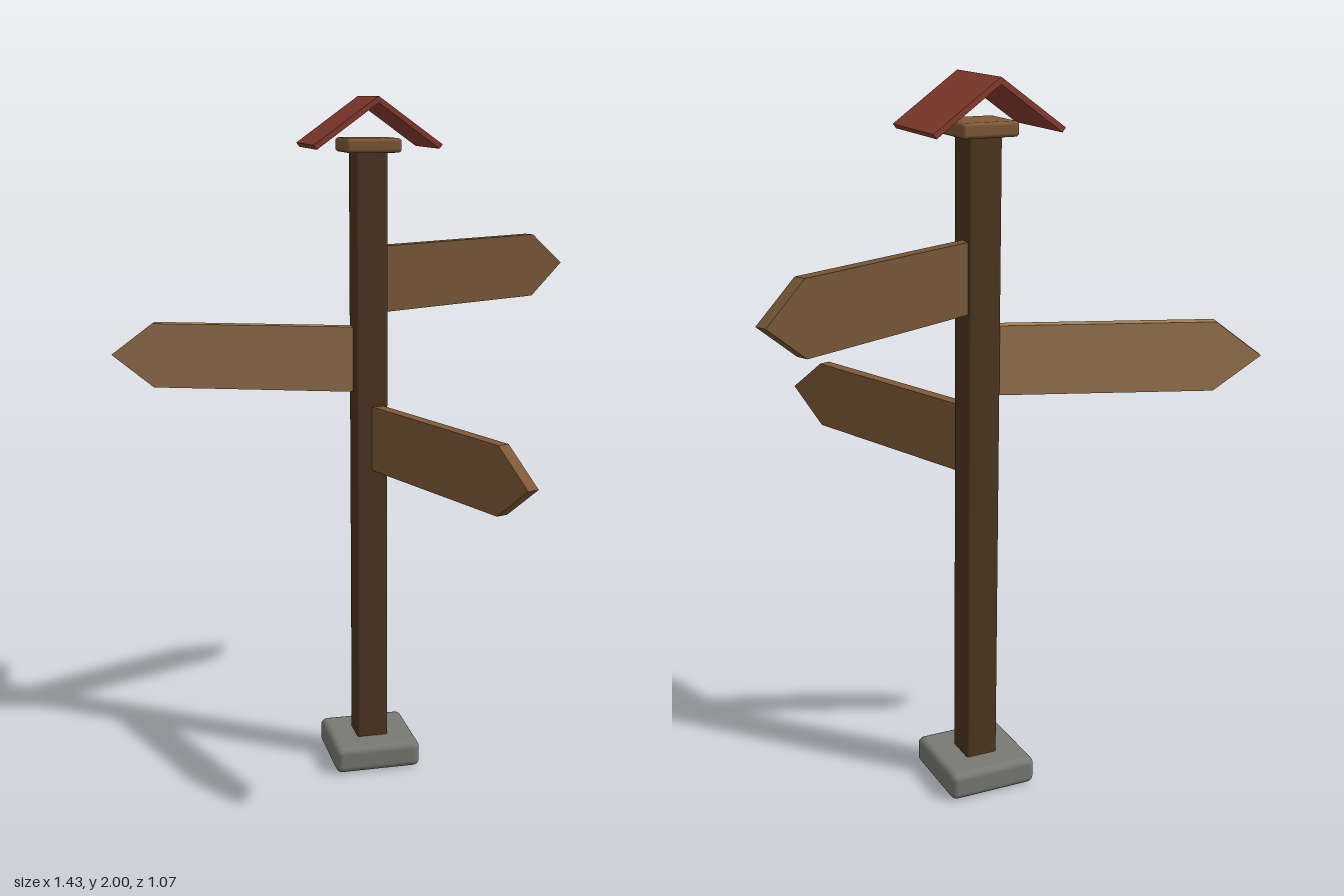
import * as THREE from 'three';
import { RoundedBoxGeometry } from 'three/addons/geometries/RoundedBoxGeometry.js';

const material = (name, color) => {
  const m = new THREE.MeshStandardMaterial({ color });
  m.name = name;
  return m;
};

export function createModel() {
  const model = new THREE.Group();
  model.name = 'signpost';
  // everything is arranged around the post axis
  const axis = new THREE.Group();
  axis.name = 'postAssembly';
  axis.position.set(0.01, 0, -0.19);
  model.add(axis);

  const darkWood = material('dark wood', 0x4e3722);
  const brownWood = material('brown wood', 0x755636);
  const warmWood = material('warm wood', 0x805a38);
  const lightWood = material('light wood', 0xa57e57);
  const stone = material('grey stone', 0x7a7a74);
  const roofRed = material('roof red', 0x8a3e30);

  const add = (name, geometry, mat) => {
    const mesh = new THREE.Mesh(geometry, mat);
    mesh.name = name;
    axis.add(mesh);
    return mesh;
  };

  // square block with softened edges between two heights
  const block = (name, width, y0, y1, radius, mat) => {
    const g = new RoundedBoxGeometry(width, y1 - y0, width, 3, radius);
    add(name, g, mat).position.y = (y0 + y1) / 2;
  };
  block('base', 0.26, 0, 0.08, 0.02, stone);
  block('post', 0.094, 0.06, 1.86, 0.008, darkWood);
  block('cap', 0.16, 1.845, 1.885, 0.01, warmWood);

  // extrusion centred on its own depth
  const slab = (points, depth) => {
    const shape = new THREE.Shape(points.map(([x, y]) => new THREE.Vector2(x, y)));
    return new THREE.ExtrudeGeometry(shape, { depth, bevelEnabled: false }).translate(0, 0, -depth / 2);
  };

  // thin gabled roof
  add('roof', slab([
    [0, 2], [-0.183, 1.869], [-0.174, 1.857], [0, 1.982], [0.174, 1.857], [0.183, 1.869],
  ], 0.26), roofRed);

  // pointed boards radiating from the post
  const board = slab([
    [0.02, -0.096], [0.643, -0.096], [0.77, 0], [0.643, 0.096], [0.02, 0.096],
  ], 0.034);
  const signs = [
    ['upperSign', 1.482, 25, brownWood],
    ['middleSign', 1.25, 160, lightWood],
    ['lowerSign', 1.02, -70, warmWood],
  ];
  for (const [name, y, degrees, mat] of signs) {
    const sign = add(name, board, mat);
    sign.position.y = y;
    sign.rotation.y = THREE.MathUtils.degToRad(degrees);
  }

  return model;
}
